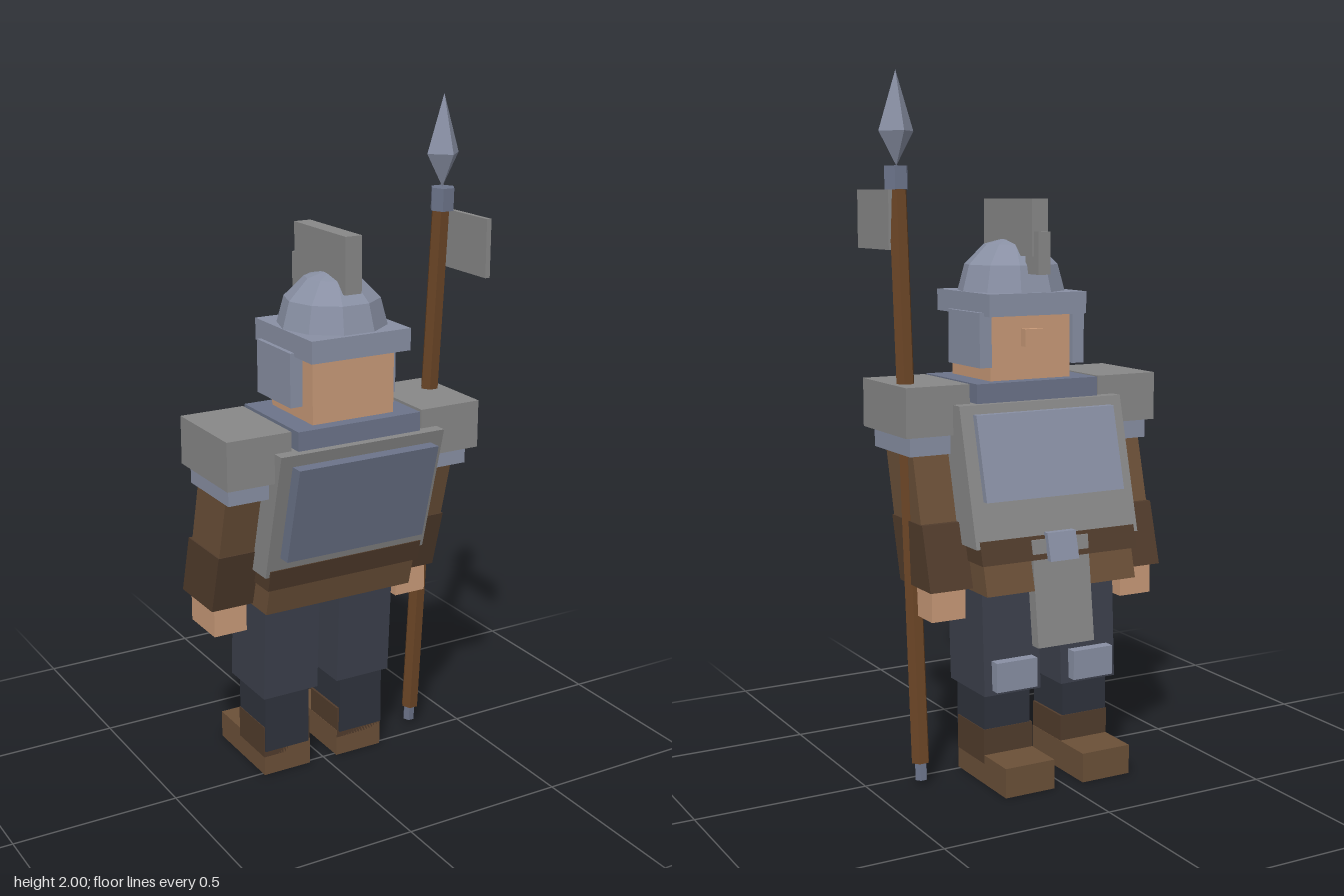
import * as THREE from 'three';

const mat = (color) => new THREE.MeshStandardMaterial({ color, flatShading: true });
const LEAN = 0.26;

export function createModel() {
  const steel = mat(0x8990a4), darkSteel = mat(0x6c748a), grey = mat(0x888888);
  const leather = mat(0x6b5038), darkLeather = mat(0x513c2c), skin = mat(0xc99a78);
  const cloth = mat(0x3c404c), darkCloth = mat(0x2f333d), wood = mat(0x6b4526);

  const model = new THREE.Group();
  const body = new THREE.Group();
  body.name = 'body';
  body.position.x = -0.006;
  model.add(body);

  const add = (parent, name, geometry, material) => {
    const mesh = new THREE.Mesh(geometry, material);
    mesh.name = name;
    parent.add(mesh);
    return mesh;
  };

  // Box given by its ranges; z is the range at the top, and slant moves the bottom towards -z
  const slab = (x0, x1, y0, y1, z0, z1, slant = 0) => {
    const g = new THREE.BoxGeometry(x1 - x0, y1 - y0, z1 - z0);
    g.translate((x0 + x1) / 2, (y0 + y1) / 2, (z0 + z1) / 2);
    const p = g.attributes.position;
    for (let i = 0; i < p.count; i++) p.setZ(i, p.getZ(i) + slant * (p.getY(i) - y1));
    g.computeVertexNormals();
    return g;
  };
  const centred = (name, m, half, ...r) => add(body, name, slab(-half, half, ...r), m);
  const paired = (name, m, inner, outer, ...r) => {
    add(body, name + 'Left', slab(inner, outer, ...r), m);
    add(body, name + 'Right', slab(-outer, -inner, ...r), m);
  };

  // Leaning torso with plates, belt and tabard
  centred('torsoArmour', grey, 0.262, 0.7, 1.085, -0.12, 0.243, LEAN);
  centred('backPlate', darkSteel, 0.223, 0.76, 1.05, 0.2, 0.275, LEAN);
  centred('chestPlate', steel, 0.223, 0.825, 1.06, -0.147, -0.1, LEAN);
  centred('belt', darkLeather, 0.25, 0.655, 0.72, -0.217, 0.152, LEAN);
  centred('tunicSkirt', leather, 0.241, 0.57, 0.655, -0.22, 0.127, LEAN);
  centred('tabard', grey, 0.091, 0.41, 0.71, -0.225, -0.19, 0.125);
  centred('buckle', steel, 0.046, 0.65, 0.728, -0.233, -0.195, LEAN);
  centred('collar', darkSteel, 0.196, 1.06, 1.14, -0.1, 0.218);

  // Shoulders and arms
  paired('shoulderPad', grey, 0.21, 0.406, 1.0, 1.14, -0.083, 0.204);
  paired('shoulderTrim', steel, 0.22, 0.387, 0.945, 1.0, -0.065, 0.17);
  paired('upperArm', leather, 0.235, 0.372, 0.76, 0.95, -0.05, 0.125, LEAN);
  paired('forearm', darkLeather, 0.245, 0.376, 0.58, 0.76, -0.115, 0.08, 0.28);
  paired('hand', skin, 0.256, 0.36, 0.49, 0.58, -0.14, 0.01);

  // Legs and boots
  paired('thigh', cloth, 0.034, 0.215, 0.265, 0.57, -0.16, 0.05, 0.05);
  paired('kneePad', steel, 0.06, 0.19, 0.28, 0.365, -0.203, -0.16);
  paired('shin', darkCloth, 0.055, 0.202, 0.08, 0.265, -0.148, 0.018);
  paired('bootCuff', darkLeather, 0.048, 0.204, 0.06, 0.16, -0.15, 0.012);
  paired('boot', leather, 0.047, 0.203, 0, 0.085, -0.277, 0.012);

  // Head and helmet
  centred('head', skin, 0.13, 1.1, 1.36, -0.055, 0.18);
  centred('nose', skin, 0.03, 1.235, 1.285, -0.08, -0.04);
  centred('helmetBrim', steel, 0.157, 1.325, 1.388, -0.102, 0.223);
  paired('cheekGuard', steel, 0.132, 0.17, 1.18, 1.335, -0.068, 0.126);
  const dome = add(body, 'helmetDome',
    new THREE.SphereGeometry(0.157, 10, 3, 0, Math.PI * 2, 0, Math.PI / 2), steel);
  dome.position.set(0, 1.385, 0.06);
  centred('crest', grey, 0.026, 1.49, 1.65, -0.108, 0.176);
  centred('crestFrontTip', grey, 0.019, 1.44, 1.56, -0.134, -0.06);

  // Spear: tilted shaft with butt, socket, diamond point and pennant
  const spear = new THREE.Group();
  spear.name = 'spear';
  spear.position.x = 0.354;
  model.add(spear);
  const rod = (name, m, r, y0, y1, z0, z1) => {
    const dir = new THREE.Vector3(0, y1 - y0, z1 - z0);
    const g = new THREE.CylinderGeometry(r, r, dir.length(), 6).rotateY(Math.PI / 6);
    const mesh = add(spear, name, g, m);
    mesh.position.set(0, (y0 + y1) / 2, (z0 + z1) / 2);
    mesh.quaternion.setFromUnitVectors(new THREE.Vector3(0, 1, 0), dir.normalize());
  };
  rod('shaft', wood, 0.027, 0.065, 1.69, -0.058, 0.056);
  rod('butt', darkSteel, 0.018, 0.015, 0.08, -0.063, -0.058);
  rod('socket', darkSteel, 0.036, 1.675, 1.74, 0.062, 0.064);
  const point = new THREE.LatheGeometry([
    new THREE.Vector2(0, 1.74), new THREE.Vector2(0.053, 1.835), new THREE.Vector2(0, 2)], 4);
  add(spear, 'spearPoint', point, steel).position.z = 0.061;
  add(spear, 'pennant', slab(0.018, 0.033, 1.51, 1.675, 0.045, 0.257), grey);

  return model;
}
